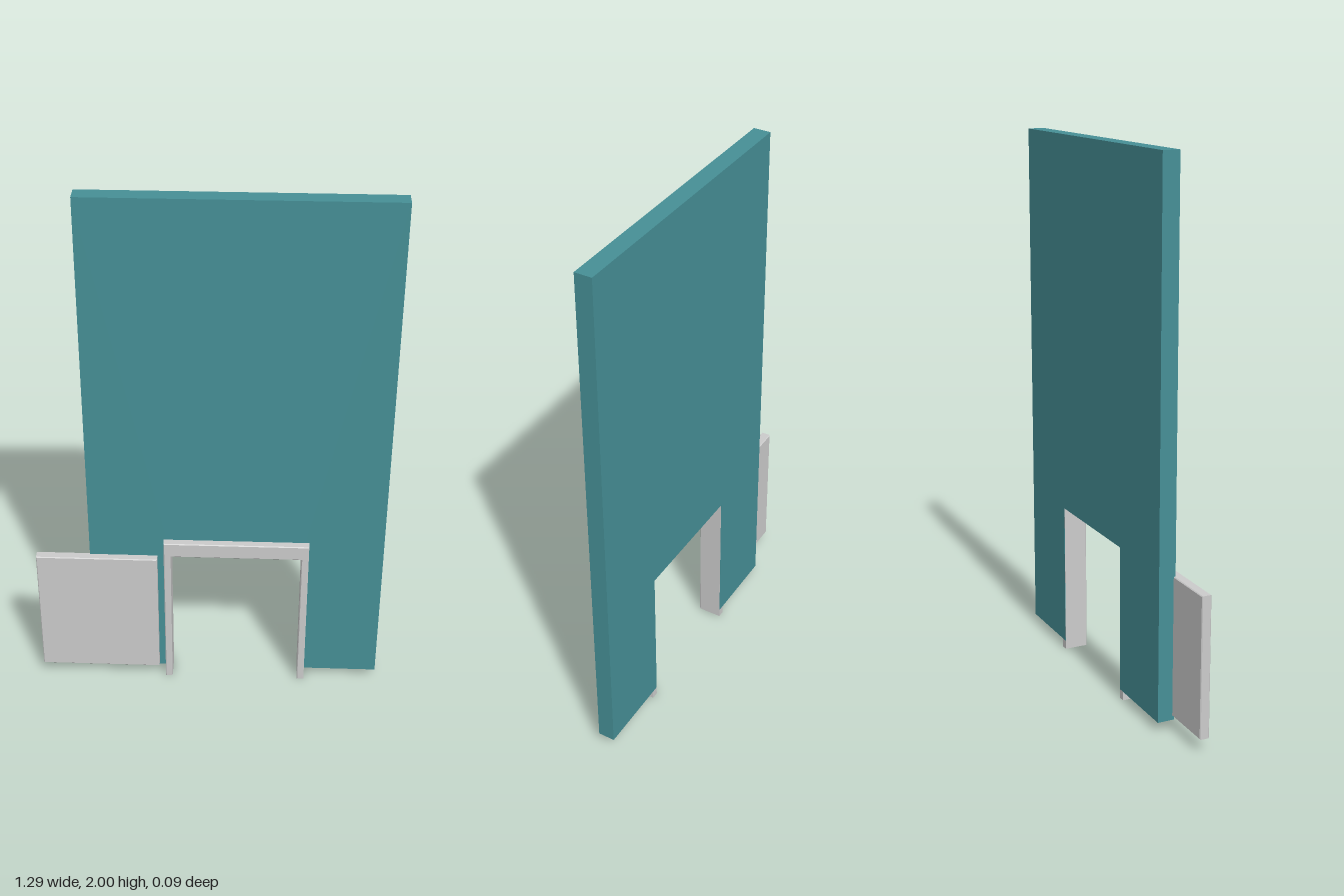
import * as THREE from 'three';

// Closed shape from a list of x, y corners
const outline = (points) => new THREE.Shape(points.map(([x, y]) => new THREE.Vector2(x, y)));

// Extrudes an outline between two depths, with an optional small chamfer
function slab(name, points, zBack, zFront, material, bevel = 0) {
  const geometry = new THREE.ExtrudeGeometry(outline(points), {
    depth: zFront - zBack - 2 * bevel,
    bevelEnabled: bevel > 0,
    bevelThickness: bevel,
    bevelSize: bevel,
    bevelOffset: -bevel,
    bevelSegments: 1,
  });
  geometry.translate(0, 0, zBack + bevel);
  const mesh = new THREE.Mesh(geometry, material);
  mesh.name = name;
  return mesh;
}

const rect = (x0, x1, y0, y1) => [[x0, y0], [x1, y0], [x1, y1], [x0, y1]];

export function createModel() {
  const model = new THREE.Group();
  model.name = 'wallWithSlidingDoor';
  const teal = new THREE.MeshStandardMaterial({ color: 0x468f96 });
  const grey = new THREE.MeshStandardMaterial({ color: 0xcccccc });

  // Opening and casing limits
  const inL = -0.144, inR = 0.342, inTop = 0.583;
  const outL = -0.17, outR = 0.369, outTop = 0.642;

  // Wall panel with a doorway cut up from its bottom edge
  model.add(slab('wall', [
    [-0.448, 0.035], [inL - 0.001, 0.035], [inL - 0.001, inTop], [inR + 0.001, inTop],
    [inR + 0.001, 0.035], [0.646, 0.035], [0.646, 2], [-0.448, 2],
  ], -0.046, 0.017, teal));

  // Door frame: casing on the front face, jambs lining the doorway
  const frame = new THREE.Group();
  frame.name = 'doorFrame';
  frame.add(slab('casing', [
    [outL, 0], [inL, 0], [inL, inTop], [inR, inTop],
    [inR, 0], [outR, 0], [outR, outTop], [outL, outTop],
  ], 0.01, 0.046, grey, 0.003));
  frame.add(slab('rightJamb', rect(outL, inL, 0, inTop), -0.045, 0.014, grey));
  frame.add(slab('leftJamb', rect(inR, outR, 0, inTop), -0.045, 0.014, grey));
  model.add(frame);

  // Door leaf, slid open beside the frame
  model.add(slab('slidingDoor', rect(-0.648, -0.195, 0.049, 0.567), 0.01, 0.046, grey, 0.003));

  return model;
}
